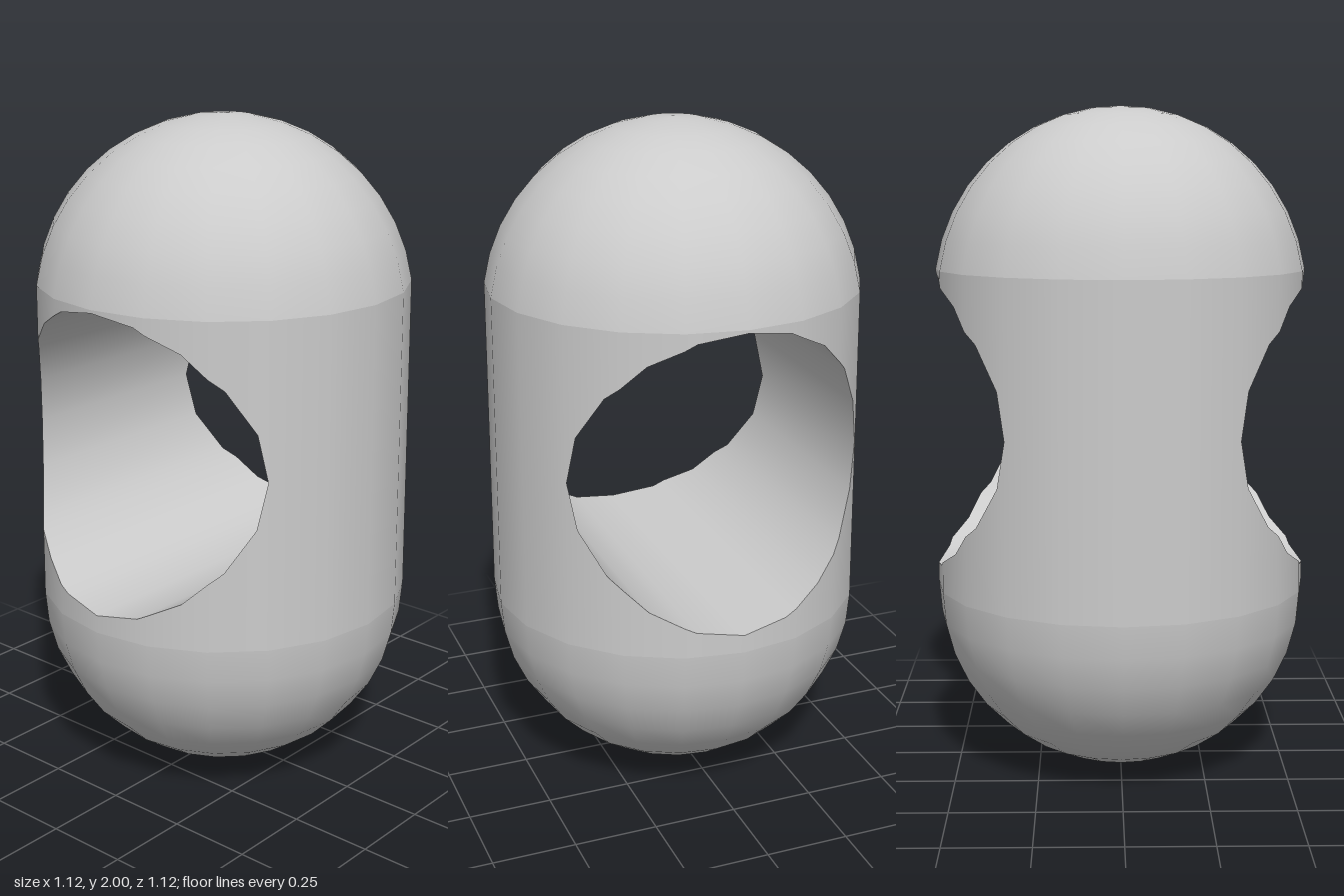
import * as THREE from 'three';

const SIDES = 20;                       // facets of both the body and the tunnel
const STEP = (2 * Math.PI) / SIDES;
const R = 0.561;                        // body radius
const HOLE = 0.448, HOLE_Y = 1.063;     // tunnel radius and height
const LOW = R, HIGH = 1.52;             // ends of the straight wall
const TOP_LAT = Math.asin((HIGH - (2 - R)) / R);
const R_HIGH = R * Math.cos(TOP_LAT);

const material = new THREE.MeshStandardMaterial({ color: 0xcccccc });

// Height of the upper half of a unit 20-sided polygon at u
function polygon(u) {
  const a = Math.asin(Math.min(1, Math.abs(u)));
  const k = Math.min(SIDES / 4 - 1, Math.floor(a / STEP + 1e-6));
  const a0 = k * STEP, a1 = a0 + STEP;
  const t = (Math.min(1, Math.abs(u)) - Math.sin(a0)) / (Math.sin(a1) - Math.sin(a0));
  return Math.cos(a0) + t * (Math.cos(a1) - Math.cos(a0));
}

// Body radius at height y: the wall tapers very slightly
const radiusAt = (y) => R + ((y - LOW) / (HIGH - LOW)) * (R_HIGH - R);

// Point on the front of the wall
function onWall(x, y) {
  const r = radiusAt(y);
  return new THREE.Vector3(x, y, r * polygon(x / r));
}

// Smooth strips between pairs of point rows (lower and upper, left to right)
function strips(pairs, normalOf) {
  const pos = [], nor = [], idx = [];
  for (const [lower, upper] of pairs) {
    const base = pos.length / 3;
    lower.forEach((p, i) => {
      for (const q of [p, upper[i]]) {
        pos.push(q.x, q.y, q.z);
        nor.push(...normalOf(q).normalize().toArray());
      }
      if (i > 0) {
        const a = base + 2 * (i - 1);
        idx.push(a, a + 2, a + 1, a + 2, a + 3, a + 1);
      }
    });
  }
  const g = new THREE.BufferGeometry();
  g.setAttribute('position', new THREE.Float32BufferAttribute(pos, 3));
  g.setAttribute('normal', new THREE.Float32BufferAttribute(nor, 3));
  g.setIndex(idx);
  return g;
}

// Columns across the opening: corners of both the body and the tunnel
function openingColumns() {
  const xs = [];
  for (let k = -5; k <= 5; k++) {
    const s = Math.sin(k * STEP);
    xs.push(s * HOLE);
    if (Math.abs(s * R) < HOLE && k !== 0) xs.push(s * R);
  }
  return xs.sort((a, b) => a - b);
}

// Half of the wall, with the opening cut out of it
function wallGeometry(xs) {
  const rim = (sign) => xs.map((x) => onWall(x, HOLE_Y + sign * HOLE * polygon(x / HOLE)));
  const edge = (y) => xs.map((x) => onWall(x, y));
  const flank = (y, sign) => {
    const r = radiusAt(y);
    const row = [onWall(sign * HOLE, y)];
    for (let k = 3; k <= 5; k++) {
      row.push(new THREE.Vector3(sign * r * Math.sin(k * STEP), y, r * Math.cos(k * STEP)));
    }
    return sign > 0 ? row : row.reverse();
  };
  const pairs = [[edge(LOW), rim(-1)], [rim(1), edge(HIGH)]];
  for (const s of [-1, 1]) pairs.push([flank(LOW, s), flank(HIGH, s)]);
  return strips(pairs, (p) => new THREE.Vector3(p.x, 0, p.z));
}

// Tunnel lining from the front rim to the back rim
function tunnelGeometry(xs) {
  const loop = [];
  for (const x of xs) loop.push(onWall(x, HOLE_Y - HOLE * polygon(x / HOLE)));
  for (const x of [...xs].reverse()) loop.push(onWall(x, HOLE_Y + HOLE * polygon(x / HOLE)));
  const back = loop.map((p) => new THREE.Vector3(p.x, p.y, -p.z));
  return strips([[loop, back]], (p) => new THREE.Vector3(-p.x, HOLE_Y - p.y, 0));
}

// Rounded end between two latitudes
function domeGeometry(centerY, lat0, lat1) {
  const pts = [], n = 9;
  for (let i = 0; i <= n; i++) {
    const a = lat0 + ((lat1 - lat0) * i) / n;
    pts.push(new THREE.Vector2(Math.max(0, R * Math.cos(a)), centerY + R * Math.sin(a)));
  }
  return new THREE.LatheGeometry(pts, SIDES);
}

export function createModel() {
  const group = new THREE.Group();
  group.name = 'piercedCapsule';
  const add = (name, geometry) => {
    const mesh = new THREE.Mesh(geometry, material);
    mesh.name = name;
    group.add(mesh);
    return mesh;
  };
  const xs = openingColumns();
  const wall = wallGeometry(xs);
  add('frontWall', wall);
  add('backWall', wall).rotation.y = Math.PI;
  add('tunnel', tunnelGeometry(xs));
  add('bottomDome', domeGeometry(R, -Math.PI / 2, 0));
  add('topDome', domeGeometry(2 - R, TOP_LAT, Math.PI / 2));
  return group;
}
